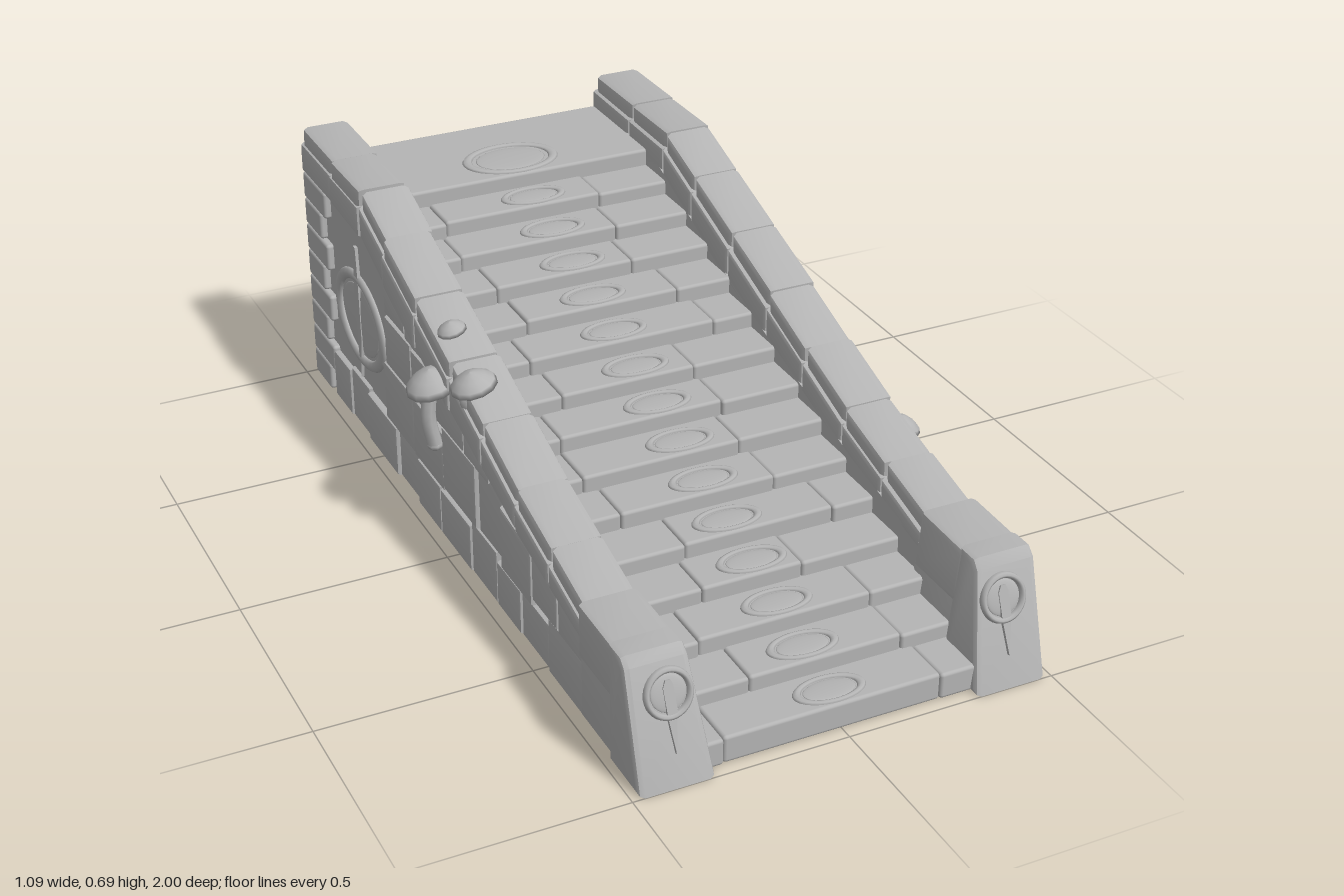
import * as THREE from 'three';
import { toCreasedNormals } from 'three/addons/utils/BufferGeometryUtils.js';
import { RoundedBoxGeometry } from 'three/addons/geometries/RoundedBoxGeometry.js';

const stone = new THREE.MeshStandardMaterial({ color: 0xb4b4b4 });
stone.name = 'grey stone';

let seed = 7;
const rand = () => (seed = (seed * 16807) % 2147483647) / 2147483647;
const vary = (a) => (rand() - 0.5) * 2 * a;

function add(parent, name, geometry, x = 0, y = 0, z = 0) {
  const mesh = new THREE.Mesh(geometry, stone);
  mesh.name = name;
  mesh.position.set(x, y, z);
  parent.add(mesh);
  return mesh;
}

// Bevelled slab with a [z, y] outline, spanning x0..x1
function slab(outline, x0, x1, bevel = 0.01) {
  const shape = new THREE.Shape(outline.map(([z, y]) => new THREE.Vector2(z, y)));
  const g = new THREE.ExtrudeGeometry(shape, {
    depth: x1 - x0 - 2 * bevel, bevelEnabled: bevel > 0, bevelThickness: bevel,
    bevelSize: bevel, bevelOffset: -bevel, bevelSegments: 2,
  });
  g.rotateY(-Math.PI / 2).translate(x1 - bevel, 0, 0);
  return toCreasedNormals(g, 0.6);
}

// Slab on either side of the model; x0 < x1 are distances from the middle
const sideSlab = (side, outline, x0, x1, bevel) =>
  side > 0 ? slab(outline, x0, x1, bevel) : slab(outline, -x1, -x0, bevel);

function box(x0, x1, y0, y1, z0, z1, r = 0.01) {
  const g = new RoundedBoxGeometry(x1 - x0, y1 - y0, z1 - z0, 2, r);
  return g.translate((x0 + x1) / 2, (y0 + y1) / 2, (z0 + z1) / 2);
}

// Height along a polyline of [z, y] points, z falling
function heightAt(line, z) {
  for (let i = 0; i < line.length - 1; i++) {
    const [za, ya] = line[i], [zb, yb] = line[i + 1];
    if (z <= za && z >= zb) return ya + (yb - ya) * (za - z) / (za - zb);
  }
  return z > line[0][0] ? line[0][1] : line[line.length - 1][1];
}

// Carved ring with a low domed disc, facing +z
function medallion(parent, name, rx, ry, tube) {
  const g = new THREE.Group();
  g.name = name;
  const ring = add(g, 'medallionRing', new THREE.TorusGeometry(1 - tube, tube, 8, 32));
  ring.scale.set(rx, ry, 0.09);
  const dome = new THREE.SphereGeometry(0.72, 24, 8, 0, Math.PI * 2, 0, Math.PI / 2).rotateX(Math.PI / 2);
  add(g, 'medallionDisc', dome).scale.set(rx, ry, 0.008);
  parent.add(g);
  return g;
}

// Tapering carved strip through a medallion
function carvedStrip(parent, y0, y1, w) {
  const s = new THREE.Shape([[0, y0], [w, y0 * 0.3], [w * 0.8, y1 * 0.6], [w * 0.4, y1], [-w * 0.5, y1], [-w, y1 * 0.5], [-w * 0.7, y0 * 0.4]]
    .map(([x, y]) => new THREE.Vector2(x, y)));
  add(parent, 'carvedStrip', new THREE.ExtrudeGeometry(s, { depth: 0.008, bevelEnabled: false }));
}

function mushroom(parent, r, cap, foot) {
  const g = new THREE.Group();
  g.name = 'mushroom';
  const profile = [[0, -0.1], [0.55, -0.12], [1, -0.28], [0.92, -0.05], [0.6, 0.2], [0.25, 0.36], [0, 0.42]]
    .map(([x, y]) => new THREE.Vector2(x * r, y * r));
  const top = add(g, 'mushroomCap', new THREE.LatheGeometry(profile, 12), ...cap);
  top.rotation.z = -Math.sign(cap[0]) * 0.25;
  const a = new THREE.Vector3(...foot), b = new THREE.Vector3(...cap);
  const mid = a.clone().lerp(b, 0.5).add(new THREE.Vector3(Math.sign(cap[0]) * 0.012, -0.01, 0));
  add(g, 'mushroomStem', new THREE.TubeGeometry(new THREE.CatmullRomCurve3([a, mid, b]), 8, r * 0.28, 8));
  const end = add(g, 'mushroomFoot', new THREE.SphereGeometry(r * 0.3, 8, 6), ...foot);
  end.scale.y = 0.8;
  parent.add(g);
}

const railTop = [[0.71, 0.275], [0.35, 0.368], [-0.58, 0.685], [-1, 0.69]];
const railBottom = [[0.71, 0.19], [0.4, 0.25], [0, 0.365], [-0.3, 0.46], [-0.6, 0.575], [-1, 0.575]];

function buildStairs(root) {
  const stairs = new THREE.Group();
  stairs.name = 'stairs';
  root.add(stairs);
  const zAt = (i) => 0.975 - i * 0.1175, yAt = (i) => 0.068 + i * 0.0388;
  // Solid core under the treads
  const outline = [[-0.985, 0], [0.96, 0]];
  for (let i = 0; i < 15; i++) {
    outline.push([zAt(i) - 0.015, yAt(i) - 0.012]);
    outline.push([i < 14 ? zAt(i + 1) - 0.015 : -0.985, yAt(i) - 0.012]);
  }
  add(stairs, 'stairCore', slab(outline, -0.35, 0.35, 0));
  // Treads, each of three stones, with a carved oval
  for (let i = 0; i < 14; i++) {
    const cuts = [-0.345, -0.2 + vary(0.08), 0.16 + vary(0.09), 0.345];
    for (let k = 0; k < 3; k++) {
      add(stairs, 'treadStone', box(cuts[k], cuts[k + 1], Math.max(0.002, yAt(i) - 0.066),
        yAt(i) - (k === 1 ? 0 : rand() * 0.005), zAt(i + 1) - 0.02, zAt(i) - rand() * 0.006, 0.008));
    }
    const m = medallion(stairs, 'treadCarving', 0.085, 0.047, 0.12);
    m.rotation.x = -Math.PI / 2;
    m.position.set(-0.005, yAt(i), zAt(i) - 0.058);
    m.scale.z = 0.6;
  }
  // Landing and its carving
  add(stairs, 'landing', box(-0.345, 0.345, 0.55, 0.611, -0.995, zAt(14), 0.008));
  const m = medallion(stairs, 'landingCarving', 0.125, 0.09, 0.1);
  m.rotation.x = -Math.PI / 2;
  m.position.set(0, 0.611, -0.765);
  m.scale.z = 0.7;
}

function buildWall(root, side) {
  const wall = new THREE.Group();
  wall.name = side > 0 ? 'leftWall' : 'rightWall';
  root.add(wall);
  // Wall core below the rail
  add(wall, 'wallCore', sideSlab(side, [[-0.985, 0], [0.75, 0], ...railBottom.map(([z, y]) => [Math.max(z, -0.985), y + 0.02])], 0.335, 0.456, 0));
  // Irregular facing blocks, leaving room for the medallion
  [0, 0.13, 0.29, 0.42].forEach((y0, row) => {
    const y1 = [0.13, 0.29, 0.42, 0.56][row];
    let z = 0.72;
    while (z > -0.84) {
      const w = 0.13 + rand() * 0.08;
      const end = Math.max(z - w, -0.85);
      const lo = y0 + (row ? vary(0.012) : 0.002), lift = vary(0.014);
      const ta = Math.min(y1 + lift, heightAt(railBottom, z) + 0.015);
      const tb = Math.min(y1 + lift, heightAt(railBottom, end) + 0.015);
      const clear = row === 0 || end > -0.5;
      if (clear && z - end > 0.05 && tb - lo > 0.05 && ta - lo > 0.025) {
        add(wall, 'wallBlock', sideSlab(side, [[end, lo], [z - 0.002, lo], [z - 0.002, ta], [end, tb]], 0.42, 0.466 + rand() * 0.009, 0.008));
      }
      z = end;
    }
  });
  // Corner stones at the back
  for (let i = 0; i < 8; i++) {
    const h = 0.575 / 8, long = i % 2;
    const inner = long ? 0.33 : 0.36, front = long ? -0.84 : -0.88;
    const a = side > 0 ? inner : -0.474, b = side > 0 ? 0.474 : -inner;
    add(wall, 'cornerStone', box(a, b, i * h + 0.001, (i + 1) * h, -1, front, 0.008));
  }
  // Two-layer rail of separate stones
  const cuts = [0.71, 0.53, 0.35, 0.16, -0.02, -0.22, -0.42, -0.58, -0.78, -1];
  for (let i = 0; i < cuts.length - 1; i++) {
    const a = cuts[i], b = cuts[i + 1], j = vary(0.005);
    const ta = heightAt(railTop, a), tb = heightAt(railTop, b);
    const ba = heightAt(railBottom, a), bb = heightAt(railBottom, b);
    const ma = ta - 0.042, mb = tb - 0.042;
    add(wall, 'railStone', sideSlab(side, [[b, bb], [a, ba], [a, ma + 0.004], [b, mb + 0.004]], 0.335, 0.476 + j * 0.6, 0.012));
    add(wall, 'railCap', sideSlab(side, [[b, mb - 0.02], [a, ma - 0.02], [a, ta + j], [b, tb + Math.min(j, 0)]], 0.343 + j, 0.468 + j, 0.016));
  }
  // Side medallion
  const m = medallion(wall, 'sideMedallion', 0.175, 0.125, 0.11);
  m.rotation.y = side * Math.PI / 2;
  m.position.set(side * 0.458, 0.31, -0.65);
  carvedStrip(m, -0.16, 0.2, 0.016);
}

function buildPost(root, side) {
  const post = new THREE.Group();
  post.name = side > 0 ? 'leftPost' : 'rightPost';
  root.add(post);
  const taper = (g) => {
    const p = g.attributes.position;
    for (let i = 0; i < p.count; i++) {
      const out = Math.abs(p.getX(i)), t = p.getY(i) / 0.285;
      if (out < 0.39) p.setX(i, side * (out + 0.03 * t));
    }
    return toCreasedNormals(g, 0.6);
  };
  add(post, 'postFront', taper(sideSlab(side, [[0.85, 0], [1, 0], [0.925, 0.268], [0.905, 0.288], [0.85, 0.288]], 0.31, 0.485, 0.014)));
  add(post, 'postBase', taper(sideSlab(side, [[0.69, 0.001], [0.87, 0.001], [0.87, 0.17], [0.69, 0.17]], 0.315, 0.474, 0.01)));
  add(post, 'postCap', taper(sideSlab(side, [[0.695, 0.155], [0.87, 0.155], [0.87, 0.284], [0.695, 0.288]], 0.31, 0.482, 0.014)));
  const m = medallion(post, 'postMedallion', 0.056, 0.058, 0.13);
  m.rotation.x = -0.273;
  m.position.set(side * 0.395, 0.2, 0.945);
  carvedStrip(m, -0.13, 0.03, 0.013);
}

export function createModel() {
  const root = new THREE.Group();
  root.name = 'stoneStaircase';
  buildStairs(root);
  for (const side of [-1, 1]) {
    buildWall(root, side);
    buildPost(root, side);
  }
  // Back panel with its medallion
  add(root, 'backPanel', box(-0.37, 0.37, 0.002, 0.6, -0.99, -0.95, 0.004));
  const back = medallion(root, 'backMedallion', 0.135, 0.13, 0.12);
  back.rotation.y = Math.PI;
  back.position.set(0, 0.31, -0.988);
  back.scale.z = 0.9;
  carvedStrip(back, -0.17, 0.2, 0.018);
  // Mushrooms growing on the walls
  mushroom(root, 0.065, [-0.49, 0.43, -0.08], [-0.488, 0.26, -0.08]);
  mushroom(root, 0.055, [-0.445, 0.485, 0.06], [-0.455, 0.42, 0.06]);
  mushroom(root, 0.035, [-0.43, 0.54, -0.1], [-0.43, 0.49, -0.1]);
  mushroom(root, 0.05, [0.495, 0.295, 0.35], [0.47, 0.25, 0.35]);
  mushroom(root, 0.03, [0.49, 0.255, 0.37], [0.47, 0.215, 0.37]);
  return root;
}
